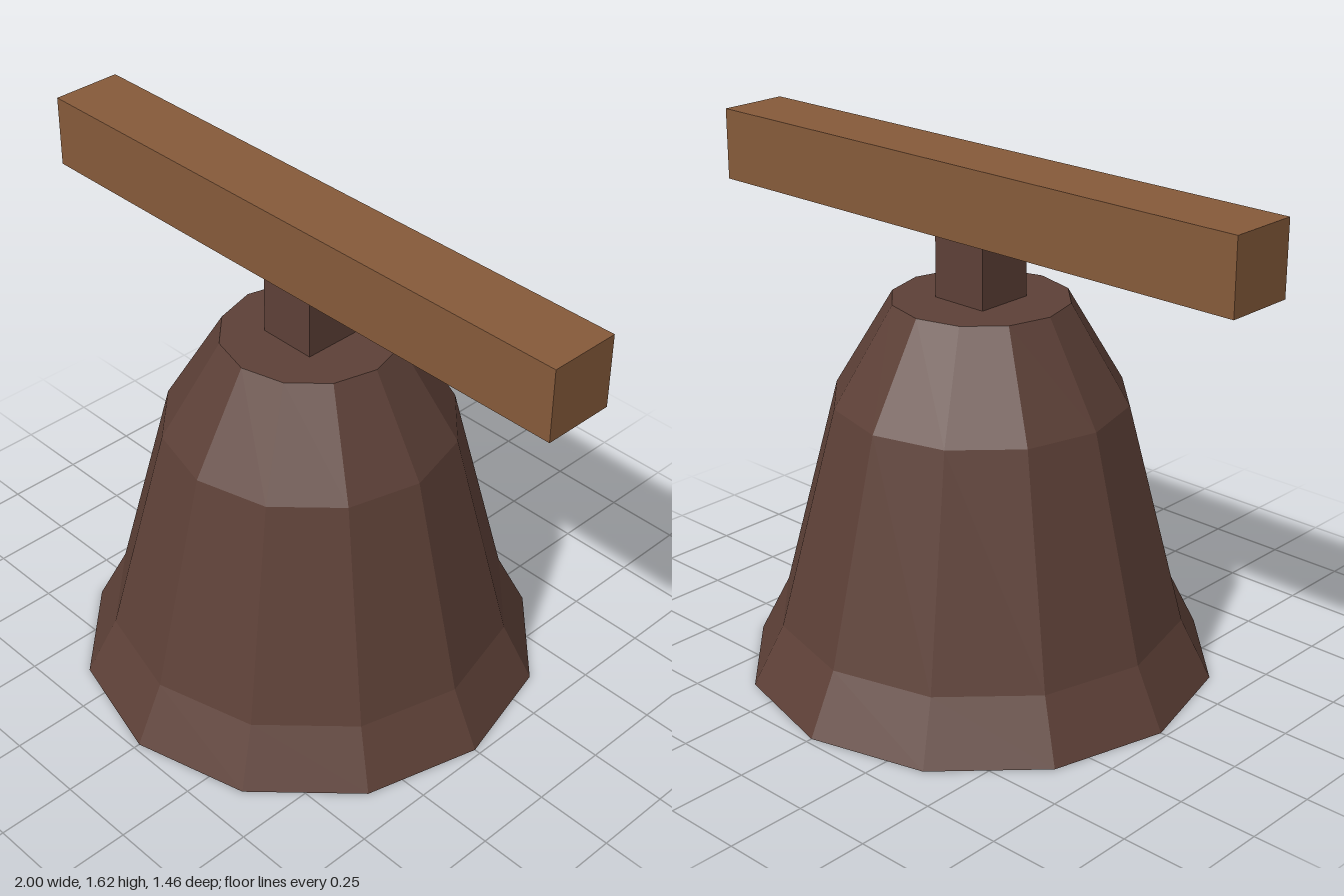
import * as THREE from 'three';

export function createModel() {
  const model = new THREE.Group();
  const darkBrown = new THREE.MeshStandardMaterial({ color: 0x5d4037, flatShading: true });
  darkBrown.name = 'dark brown';
  const woodBrown = new THREE.MeshStandardMaterial({ color: 0x855a3a, flatShading: true });
  woodBrown.name = 'wood brown';

  const add = (name, geometry, material, y = 0) => {
    const mesh = new THREE.Mesh(geometry, material);
    mesh.name = name;
    mesh.position.y = y;
    model.add(mesh);
  };

  // Twelve-sided bell, closed at the mouth and the crown
  const profile = [[0, 0], [0.73, 0], [0.635, 0.19], [0.455, 0.885], [0.273, 1.193], [0, 1.193]]
    .map(([r, y]) => new THREE.Vector2(r, y));
  add('bell', new THREE.LatheGeometry(profile, 12), darkBrown);

  // Square hanger between the bell and the beam
  add('hanger', new THREE.BoxGeometry(0.19, 0.22, 0.19), darkBrown, 1.29);

  // Wooden beam
  add('beam', new THREE.BoxGeometry(2, 0.228, 0.228), woodBrown, 1.502);

  return model;
}
